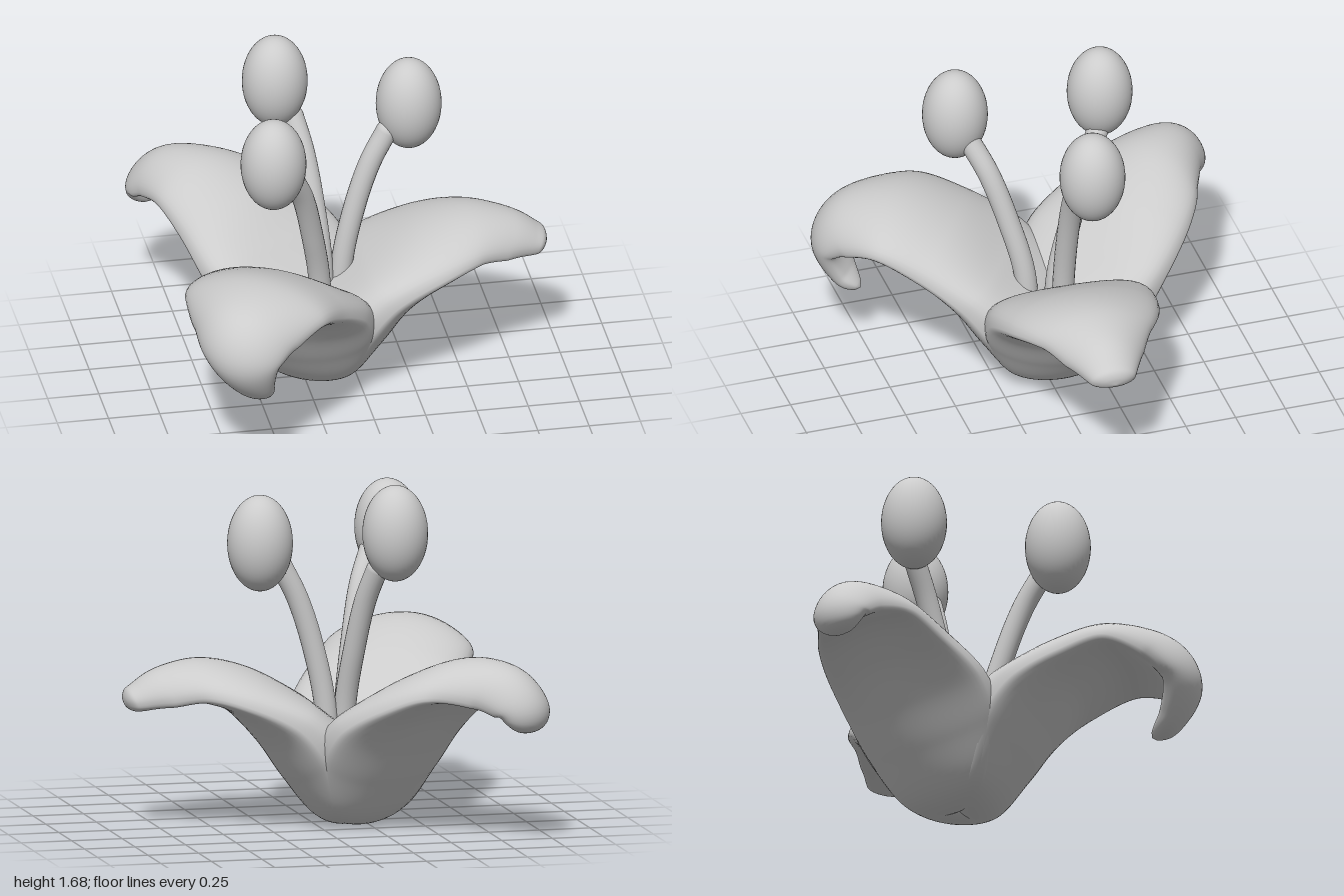
import * as THREE from 'three';

const material = new THREE.MeshStandardMaterial({ color: 0xcccccc, side: THREE.DoubleSide });
const CENTRE = [-0.19, 0, -0.05];

// Cross-sections shared by the lower part of every petal:
// [radius, height, half width, dome height, edge lift (+ cupped, - drooping), optional sideways shift]
const base = [
  [-0.03, 0.085, 0.17, 0.2, 0.0],
  [0.12, 0.1, 0.27, 0.28, 0.03],
  [0.27, 0.275, 0.38, 0.3, 0.09],
  [0.40, 0.46, 0.41, 0.23, 0.08],
];

// Each petal arches over and curls by its own amount
const petals = [
  { name: 'leftPetal', angle: 2, tip: [
    [0.57, 0.635, 0.37, 0.15, -0.01], [0.75, 0.72, 0.29, 0.1, -0.05],
    [0.93, 0.69, 0.2, 0.095, -0.05], [1.05, 0.64, 0.13, 0.075, -0.02], [1.12, 0.61, 0.09, 0.055, 0]] },
  { name: 'frontPetal', angle: 122.5, tip: [
    [0.56, 0.65, 0.39, 0.16, -0.01], [0.78, 0.78, 0.36, 0.105, -0.06, -0.01],
    [1.0, 0.735, 0.27, 0.105, -0.08, -0.03], [1.09, 0.6, 0.2, 0.09, -0.05, -0.05],
    [1.02, 0.45, 0.11, 0.065, -0.01, -0.09], [0.92, 0.375, 0.05, 0.04, 0, -0.13]] },
  { name: 'backPetal', angle: -120, tip: [
    [0.56, 0.65, 0.36, 0.16, -0.01, -0.01], [0.75, 0.775, 0.29, 0.105, -0.06, -0.05],
    [0.95, 0.755, 0.21, 0.1, -0.07, -0.1], [1.06, 0.65, 0.16, 0.085, -0.04, -0.13], [1.04, 0.54, 0.1, 0.06, 0, -0.14]] },
];

// Sweeps a fat rounded cross-section, domed above and shallow below, along an arched spine
function petalGeometry(rows) {
  const spine = new THREE.CatmullRomCurve3(rows.map(([r, y, , , , side = 0]) => new THREE.Vector3(r, y, side)), false, 'catmullrom');
  const shape = new THREE.CatmullRomCurve3(rows.map(([, , w, h, c]) => new THREE.Vector3(w, h, c)), false, 'catmullrom');
  const rings = 90, sides = 48, round = 0.08;
  const positions = [], index = [];
  for (let i = 0; i <= rings; i++) {
    const t = i / rings;
    const p = spine.getPoint(t), s = shape.getPoint(t);
    const d = spine.getPoint(Math.min(1, t + 0.005)).sub(spine.getPoint(Math.max(0, t - 0.005))).setZ(0).normalize();
    // Round off both ends
    const e = Math.min(1, Math.min(t, 1 - t) / round);
    const k = Math.sqrt(Math.max(0, 1 - (1 - e) ** 2));
    const under = Math.min(0.085, s.y * 0.8);
    for (let j = 0; j < sides; j++) {
      const a = (j / sides) * Math.PI * 2;
      const sin = Math.sin(a), cos = Math.cos(a);
      const bulge = Math.sign(sin) * Math.abs(sin) ** 0.85;
      const n = k * (bulge * (sin > 0 ? s.y : under) + s.z * cos * cos);
      positions.push(p.x - d.y * n, p.y + d.x * n, p.z + k * s.x * cos);
      if (i < rings) {
        const b = i * sides + j, c = i * sides + ((j + 1) % sides);
        index.push(b, b + sides, c, c, b + sides, c + sides);
      }
    }
  }
  const g = new THREE.BufferGeometry();
  g.setAttribute('position', new THREE.Float32BufferAttribute(positions, 3));
  g.setIndex(index);
  g.computeVertexNormals();
  return g;
}

const stamens = [
  { name: 'leftStamen', head: [0.28, 1.38, -0.1],
    path: [[-0.07, 0.1, -0.06], [-0.055, 0.55, -0.06], [0.01, 0.87, -0.06], [0.085, 1.1, -0.06], [0.165, 1.26, -0.06]] },
  { name: 'frontStamen', head: [-0.465, 1.36, 0.355],
    path: [[-0.18, 0.1, 0.08], [-0.19, 0.55, 0.09], [-0.24, 0.85, 0.16], [-0.3, 1.1, 0.24], [-0.37, 1.26, 0.315]] },
  { name: 'backStamen', head: [-0.33, 1.44, -0.33],
    path: [[-0.15, 0.1, -0.04], [-0.15, 0.55, -0.06], [-0.175, 0.85, -0.14], [-0.21, 1.1, -0.22], [-0.25, 1.26, -0.29]] },
];

function makeStamen({ name, head, path }) {
  const group = new THREE.Group();
  group.name = name;
  const add = (part, geometry, at = [0, 0, 0]) => {
    const mesh = new THREE.Mesh(geometry, material);
    mesh.name = part;
    mesh.position.set(...at);
    group.add(mesh);
    return mesh;
  };
  // Curved stalk with a rounded end, and an egg-shaped head
  const curve = new THREE.CatmullRomCurve3(path.map(p => new THREE.Vector3(...p)));
  add('filament', new THREE.TubeGeometry(curve, 40, 0.053, 20));
  add('filamentEnd', new THREE.SphereGeometry(0.053, 20, 14), path[path.length - 1]);
  add('anther', new THREE.SphereGeometry(1, 40, 28), head).scale.set(0.158, 0.233, 0.158);
  return group;
}

export function createModel() {
  const flower = new THREE.Group();
  flower.name = 'flower';
  for (const { name, angle, tip } of petals) {
    const petal = new THREE.Mesh(petalGeometry([...base, ...tip]), material);
    petal.name = name;
    petal.position.set(...CENTRE);
    petal.rotation.y = -THREE.MathUtils.degToRad(angle);
    flower.add(petal);
  }
  for (const s of stamens) flower.add(makeStamen(s));
  return flower;
}
